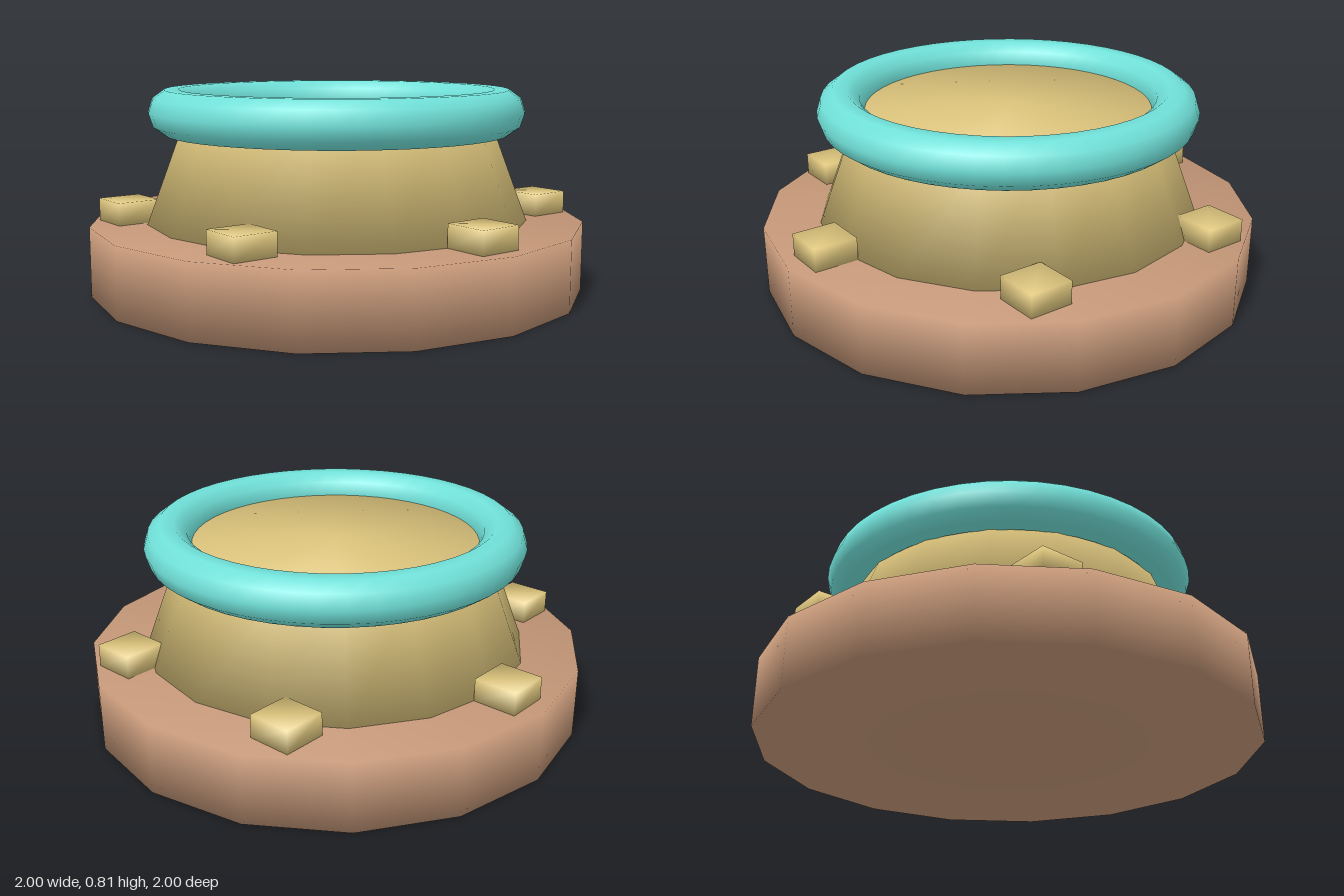
import * as THREE from 'three';
import { mergeVertices } from 'three/addons/utils/BufferGeometryUtils.js';

// Weld every corner so shading flows softly over the low-poly edges
function soften(geometry) {
  geometry.deleteAttribute('normal');
  geometry.deleteAttribute('uv');
  const welded = mergeVertices(geometry, 1e-4);
  welded.computeVertexNormals();
  return welded;
}

export function createModel() {
  const group = new THREE.Group();
  const material = (name, color) => {
    const m = new THREE.MeshStandardMaterial({ color });
    m.name = name;
    return m;
  };
  const clay = material('clay brown', 0xc39677);
  const gold = material('pale gold', 0xdcc47c);
  const teal = material('teal', 0x70e0d8);

  const add = (name, geometry, mat, x, y, z) => {
    const mesh = new THREE.Mesh(soften(geometry), mat);
    mesh.name = name;
    mesh.position.set(x, y, z);
    group.add(mesh);
    return mesh;
  };

  // Sixteen-sided base plate
  add('base', new THREE.CylinderGeometry(1, 1, 0.28, 16), clay, 0, 0.14, 0);

  // Tapered pedestal, its top hidden in the ring
  add('pedestal', new THREE.CylinderGeometry(0.61, 0.775, 0.44, 16), gold, 0, 0.5, 0);

  // Ring lying around the pedestal top
  const ring = new THREE.TorusGeometry(0.667, 0.0935, 10, 48);
  ring.rotateX(-Math.PI / 2);
  add('ring', ring, teal, 0, 0.72, 0);

  // Six square studs around the base
  for (let i = 0; i < 6; i++) {
    const a = (i * Math.PI) / 3;
    add('stud' + (i + 1), new THREE.BoxGeometry(0.175, 0.09, 0.175), gold,
      0.845 * Math.cos(a), 0.325, 0.845 * Math.sin(a));
  }
  return group;
}
